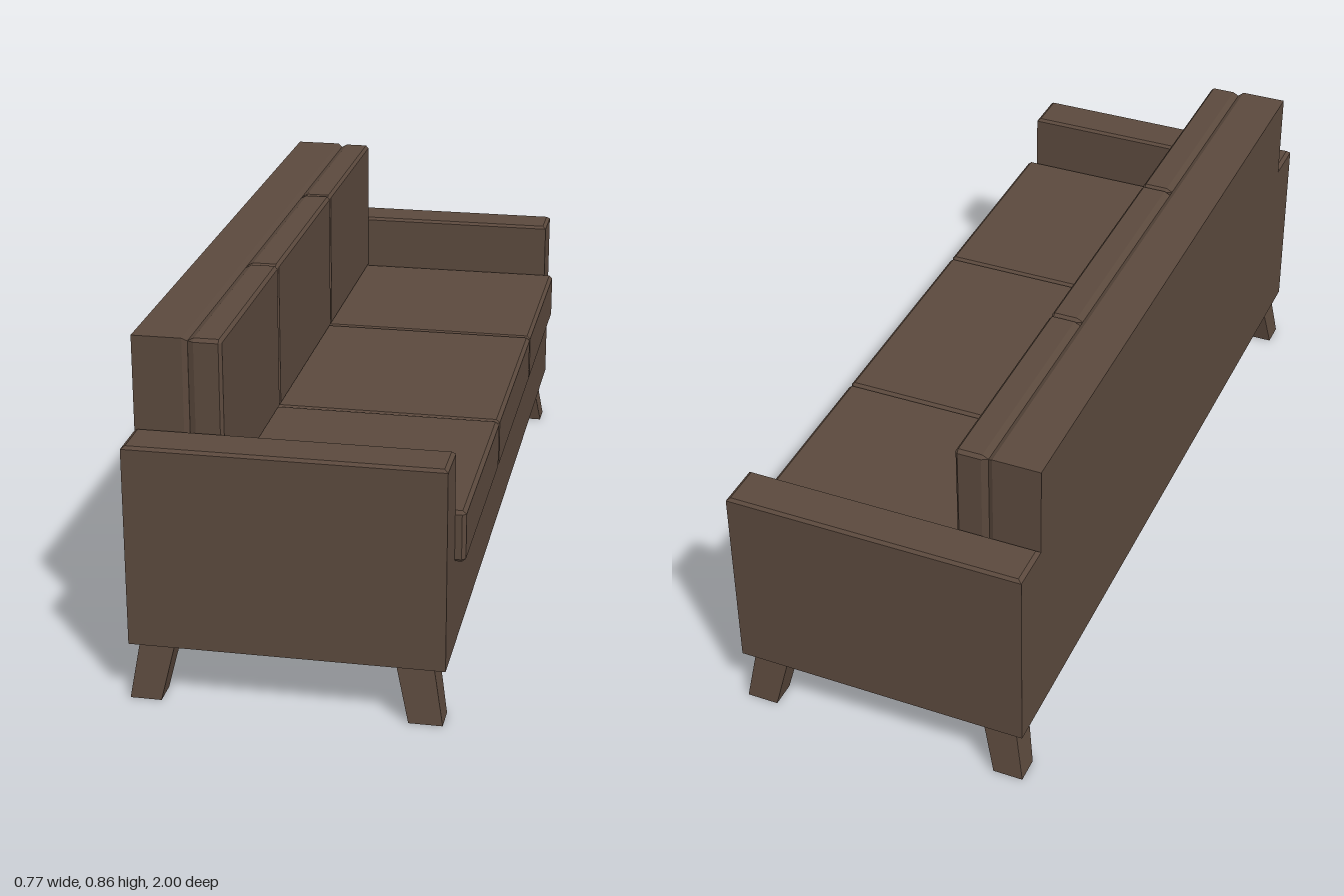
import * as THREE from 'three';
import { ConvexGeometry } from 'three/addons/geometries/ConvexGeometry.js';

const fabric = new THREE.MeshStandardMaterial({ color: 0x5b493d });
fabric.name = 'brown fabric';

// Corners of a rectangle at height y: [x0, x1, z0, z1]
function rect(y, [x0, x1, z0, z1]) {
  return [[x0, z0], [x1, z0], [x0, z1], [x1, z1]].map(([x, z]) => new THREE.Vector3(x, y, z));
}

function solid(name, points) {
  const mesh = new THREE.Mesh(new ConvexGeometry(points), fabric);
  mesh.name = name;
  return mesh;
}

// Box with chamfered edges; back and front chamfers (b, f) may differ in x
function cushion(name, [x0, x1], [y0, y1], [z0, z1], b, f, c) {
  return solid(name, [
    ...rect(y0, [x0 + b, x1 - f, z0 + c, z1 - c]),
    ...rect(y1, [x0 + b, x1 - f, z0 + c, z1 - c]),
    ...[y0 + c, y1 - c].flatMap((y) => [
      ...rect(y, [x0, x1, z0 + c, z1 - c]),
      ...rect(y, [x0 + b, x1 - f, z0, z1]),
    ]),
  ]);
}

export function createModel() {
  const sofa = new THREE.Group();
  sofa.name = 'sofa';

  // Base between the arms
  sofa.add(solid('base', [
    ...rect(0.14, [-0.385, 0.36, -0.885, 0.885]),
    ...rect(0.365, [-0.385, 0.36, -0.885, 0.885]),
  ]));

  // Backrest frame, bevelled along its front and top
  sofa.add(solid('backFrame', [
    ...[0.36, 0.86].flatMap((y) => [
      ...rect(y, [-0.385, -0.267, -0.885, 0.885]),
    ]),
    ...rect(0.36, [-0.385, -0.255, -0.878, 0.878]),
    ...rect(0.852, [-0.385, -0.255, -0.878, 0.878]),
  ]));

  // Three seat cushions and three back cushions
  const splits = [-0.885, -0.318, 0.318, 0.885];
  for (let i = 0; i < 3; i++) {
    const z = [splits[i], splits[i + 1]];
    sofa.add(cushion('seatCushion', [-0.255, 0.385], [0.36, 0.487], z, 0.01, 0.009, 0.008));
    sofa.add(cushion('backCushion', [-0.255, -0.175], [0.484, 0.86], z, 0.015, 0.007, 0.008));
  }

  for (const s of [-1, 1]) {
    // Arms with a small bevel around the top
    sofa.add(solid(s > 0 ? 'leftArm' : 'rightArm', [
      ...rect(0.14, [-0.385, 0.36, s * 0.885, s]),
      ...rect(0.628, [-0.385, 0.36, s * 0.885, s]),
      ...rect(0.635, [-0.375, 0.351, s * 0.892, s * 0.993]),
    ]));

    // Splayed, tapered legs
    sofa.add(solid('frontLeg', [
      ...rect(0, [0.275, 0.355, s * 0.935, s]),
      ...rect(0.14, [0.243, 0.331, s * 0.907, s * 0.983]),
    ]));
    sofa.add(solid('backLeg', [
      ...rect(0, [-0.385, -0.31, s * 0.935, s]),
      ...rect(0.14, [-0.362, -0.278, s * 0.907, s * 0.983]),
    ]));
  }
  return sofa;
}
